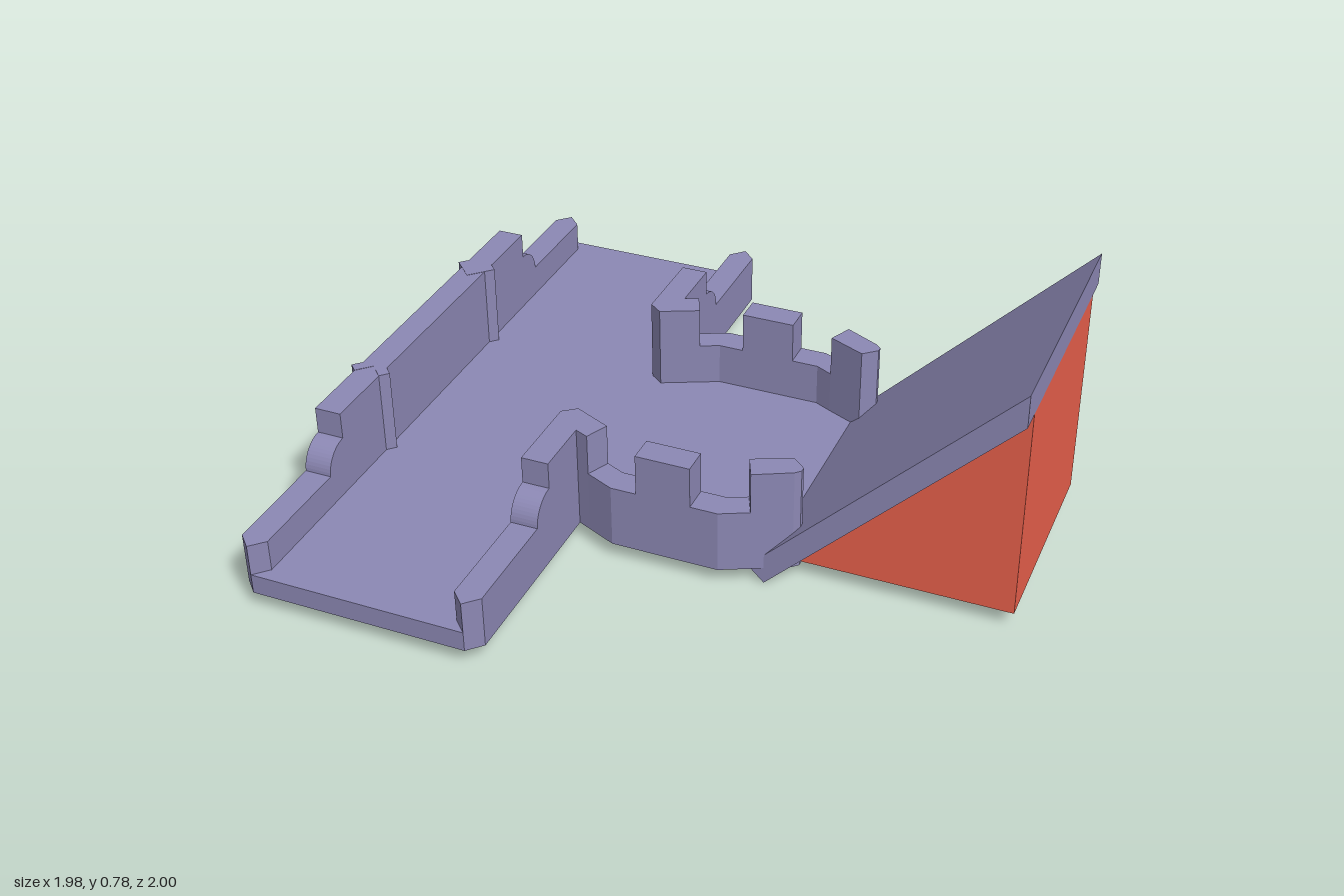
import * as THREE from 'three';

const stone = new THREE.MeshStandardMaterial({ color: 0x8c88b4, flatShading: true });
const red = new THREE.MeshStandardMaterial({ color: 0xe8604c, flatShading: true });
const BASE = 0.05, FLOOR = 0.11, LOW = 0.205, GAP = 0.24, TOP = 0.365;

const shapeOf = pts => new THREE.Shape(pts.map(p => new THREE.Vector2(p[0], p[1])));
const extrude = (pts, depth) =>
  new THREE.ExtrudeGeometry(shapeOf(pts), { depth, bevelEnabled: false });

// Upright prism from a plan outline of [x, z] points
function prism(pts, y0, y1) {
  const g = extrude(pts.map(([x, z]) => [x, -z]), y1 - y0);
  return g.rotateX(-Math.PI / 2).translate(0, y0, 0);
}

// Slab from a side outline of [x, y] points, centred on z = 0
const sideSlab = (pts, width) => extrude(pts, width).translate(0, 0, -width / 2);

// Bar along x from a profile of [z, y] points
const crossBar = (pts, x0, width) =>
  extrude(pts, width).rotateY(-Math.PI / 2).translate(x0 + width, 0, 0);

export function createModel() {
  const group = new THREE.Group();
  const add = (name, geometry, material = stone) => {
    const mesh = new THREE.Mesh(geometry, material);
    mesh.name = name;
    group.add(mesh);
  };

  // Deck: long walkway with a side bay
  const half = [[-0.93, 1], [-0.29, 1], [-0.29, 0.325], [-0.125, 0.4], [0.19, 0.4], [0.33, 0.335]];
  const mirrored = half.map(([x, z]) => [x, -z]).reverse();
  add('deck', prism([...half, ...mirrored], BASE, FLOOR));

  // Back wall, high in the middle
  add('backWall', prism([[-0.97, -0.56], [-0.89, -0.56], [-0.89, 0.56], [-0.97, 0.56]], BASE, TOP));

  for (const s of [1, -1]) {
    const side = pts => pts.map(([x, z]) => [x, z * s]);

    // Low pointed wall ends with a rounded step up to the high wall
    for (const x of [-0.97, -0.33]) {
      add('wallEnd', prism(side([[x, 0.56], [x + 0.08, 0.56], [x + 0.08, 0.96],
        [x + 0.04, 1], [x, 0.96]]), BASE, LOW));
      const step = [[s * 0.56, LOW]];
      for (let i = 0; i <= 12; i++) {
        const a = (i / 12) * Math.PI / 2;
        step.push([s * (0.56 + 0.08 * Math.cos(a)), LOW + 0.08 * Math.sin(a)]);
      }
      add('roundedStep', crossBar(step, x, 0.08));
    }

    // Chevron post wrapped round the back wall
    add('chevronPost', prism(side([[-0.93, 0.262], [-0.867, 0.325], [-0.89, 0.348],
      [-0.93, 0.308], [-0.97, 0.348], [-0.993, 0.325]]), BASE, TOP + 0.001));

    // Front wall turning the corner into the bay
    add('cornerWall', prism(side([[-0.33, 0.56], [-0.25, 0.56], [-0.25, 0.385], [-0.21, 0.402],
      [-0.18, 0.335], [-0.29, 0.285], [-0.33, 0.315]]), BASE, TOP));

    // Bay wall with its battlements
    add('bayWall', prism(side([[-0.21, 0.402], [-0.125, 0.44], [0.19, 0.44], [0.27, 0.402],
      [0.24, 0.335], [0.19, 0.36], [-0.125, 0.36], [-0.18, 0.335]]), BASE, GAP));
    add('middleMerlon', prism(side([[-0.05, 0.36], [0.11, 0.36], [0.11, 0.44], [-0.05, 0.44]]), GAP, TOP));
    add('endMerlon', prism(side([[0.27, 0.402], [0.375, 0.35], [0.39, 0.335], [0.39, 0.32],
      [0.35, 0.285], [0.24, 0.335]]), BASE, TOP));
  }

  // Sloping ramp and the wedge that carries it
  add('ramp', sideSlab([[0.305, 0], [0.99, 0.685], [0.99, 0.78], [0.257, 0.047]], 0.77));
  add('rampSupport', sideSlab([[0.355, BASE], [0.99, BASE], [0.99, 0.685]], 0.636), red);

  return group;
}
